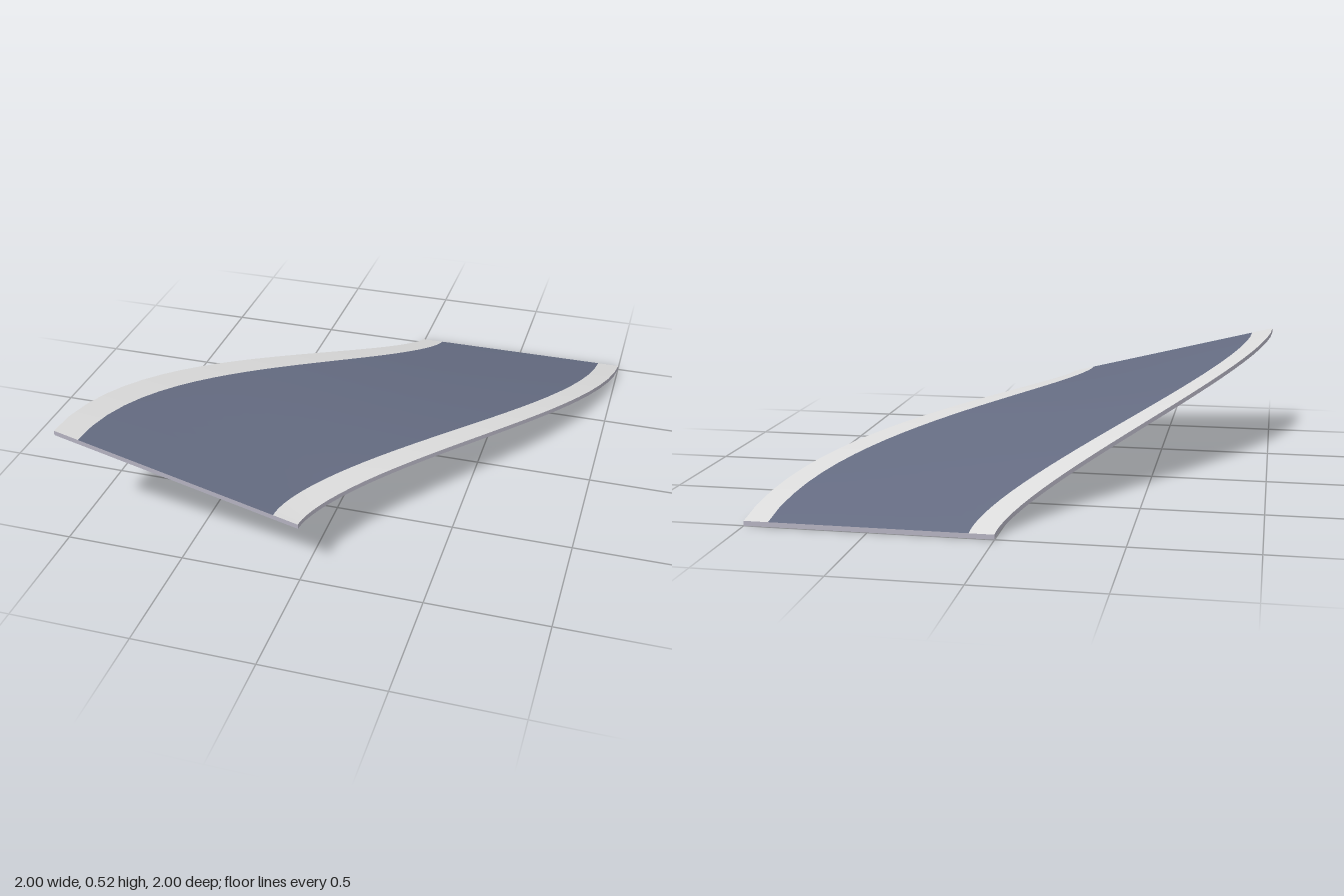
import * as THREE from 'three';

const STEPS = 28;
const THICK = 0.02;
const HALF = 0.5;
const H = 0.63; // handle length of the S-shaped centre line

const centre = new THREE.CubicBezierCurve(
  new THREE.Vector2(0.5, -1), new THREE.Vector2(0.5, -1 + H),
  new THREE.Vector2(-0.5, 1 - H), new THREE.Vector2(-0.5, 1));

// Climb that starts with a given slope and ends level
function climb(z, slope) {
  const u = THREE.MathUtils.clamp((z + 1) / 2, 0, 1);
  return slope * u * (1 - u) ** 2 + 3 * u * u - 2 * u ** 3;
}

// Point of the ramp: t along the road, s across it (-1 to 1), lift above the underside
function rampPoint(t, s, lift) {
  const c = centre.getPoint(t);
  const d = centre.getTangent(t);
  const edge = (side) => {
    const x = c.x + side * HALF * d.y;
    const z = c.y - side * HALF * d.x;
    const y = side < 0 ? 0.5 * climb(z, 1.22) : 0.25 * climb(z, 2);
    return new THREE.Vector3(x, y, z);
  };
  const p = edge(-1).lerp(edge(1), (s + 1) / 2);
  p.y += lift;
  return p;
}

// Ruled strip between two paths
function strip(name, material, a, b, steps = STEPS) {
  const pos = [], index = [];
  for (let i = 0; i <= steps; i++) {
    const t = i / steps;
    pos.push(...a(t).toArray(), ...b(t).toArray());
    if (i < steps) {
      const k = i * 2;
      index.push(k, k + 2, k + 1, k + 1, k + 2, k + 3);
    }
  }
  const g = new THREE.BufferGeometry();
  g.setAttribute('position', new THREE.Float32BufferAttribute(pos, 3));
  g.setIndex(index);
  g.computeVertexNormals();
  const mesh = new THREE.Mesh(g, material);
  mesh.name = name;
  return mesh;
}

export function createModel() {
  const make = (name, color) => {
    const m = new THREE.MeshStandardMaterial({ color });
    m.name = name;
    return m;
  };
  const asphalt = make('asphalt', 0x656c82);
  const border = make('border', 0xdcdcdc);
  const concrete = make('concrete', 0xb4b2c0);

  const along = (s, lift) => (t) => rampPoint(t, s, lift);
  const across = (t, dir, lift) => (w) => rampPoint(t, dir * (2 * w - 1), lift);

  const group = new THREE.Group();
  group.name = 'bankedRoadRamp';
  group.add(
    // Driving surface and its two pale borders
    strip('roadSurface', asphalt, along(-0.8, THICK), along(0.8, THICK)),
    strip('rightBorder', border, along(-1, THICK), along(-0.8, THICK)),
    strip('leftBorder', border, along(0.8, THICK), along(1, THICK)),
    // Slab underside and rims
    strip('underside', concrete, along(1, 0), along(-1, 0)),
    strip('leftRim', concrete, along(1, THICK), along(1, 0)),
    strip('rightRim', concrete, along(-1, 0), along(-1, THICK)),
    strip('frontEnd', concrete, across(1, 1, 0), across(1, 1, THICK), 1),
    strip('backEnd', concrete, across(0, -1, 0), across(0, -1, THICK), 1),
  );
  return group;
}
